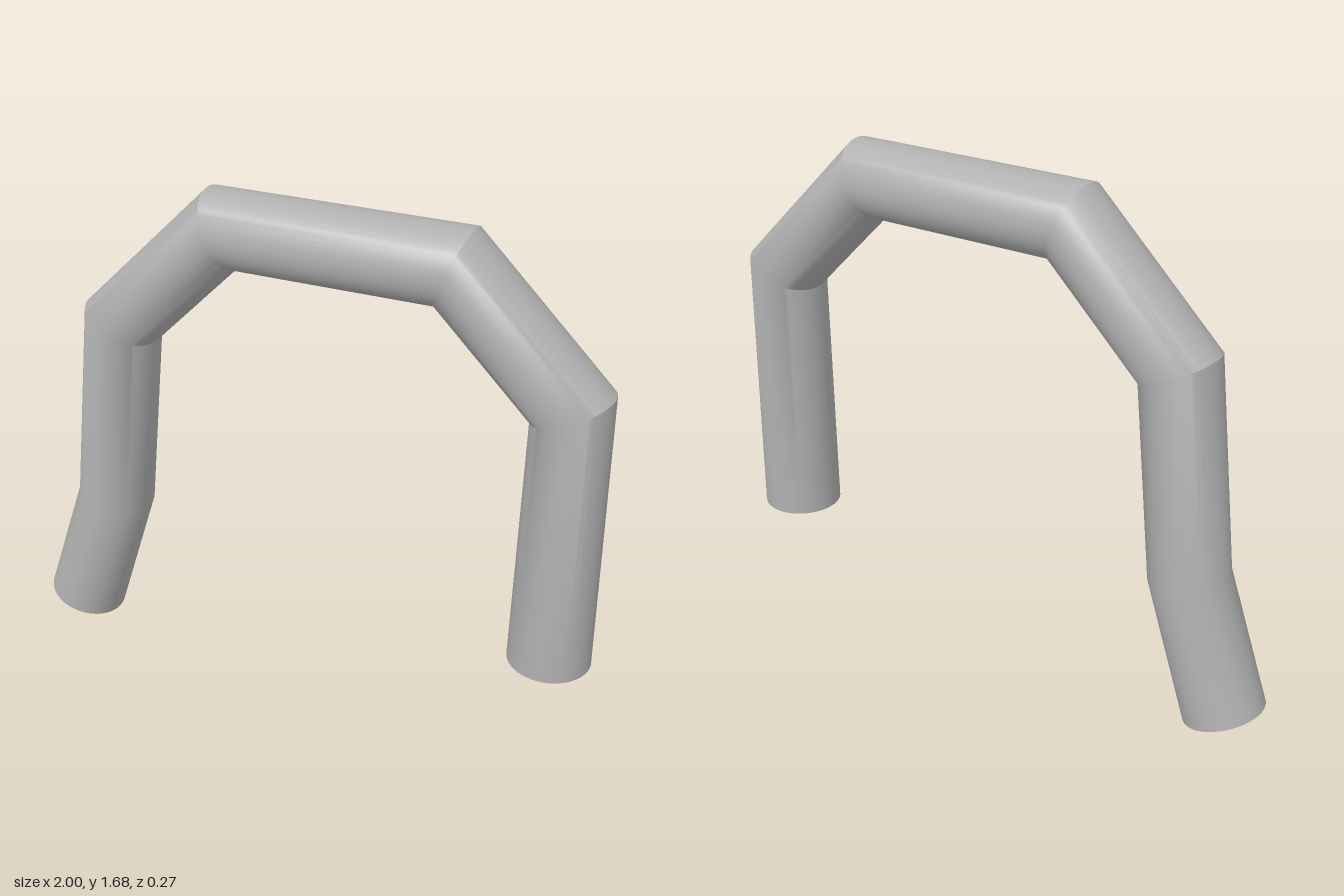
import * as THREE from 'three';
import { toCreasedNormals } from 'three/addons/utils/BufferGeometryUtils.js';

const SIDES = 48;
const HALF_DEPTH = 0.135;

// Mitred joints along the pipe: outer x, y and inner x, y
const JOINTS = [
  [-1.0, 0.088, -0.745, 0.0],
  [-0.848, 0.527, -0.593, 0.475],
  [-0.767, 1.235, -0.528, 1.122],
  [-0.32, 1.678, -0.22, 1.432],
  [0.535, 1.678, 0.435, 1.432],
  [0.985, 1.23, 0.74, 1.125],
  [1.0, 0.272, 0.73, 0.272],
];

// Elliptical ring spanning the outer and inner corner of a joint
function ring([ox, oy, ix, iy]) {
  const points = [];
  for (let j = 0; j < SIDES; j++) {
    const a = (j / SIDES) * Math.PI * 2;
    const k = (1 + Math.cos(a)) / 2;
    points.push([ix + (ox - ix) * k, iy + (oy - iy) * k, HALF_DEPTH * Math.sin(a)]);
  }
  return points;
}

function bentPipe() {
  const rings = JOINTS.map(ring);
  const positions = rings.flat(2);
  const index = [];
  // Straight walls between neighbouring joints
  for (let i = 0; i < rings.length - 1; i++) {
    for (let j = 0; j < SIDES; j++) {
      const n = (j + 1) % SIDES;
      const a = i * SIDES + j, b = i * SIDES + n;
      index.push(a, b, b + SIDES, a, b + SIDES, a + SIDES);
    }
  }
  // Flat caps on both open ends
  const last = (rings.length - 1) * SIDES;
  for (let j = 1; j < SIDES - 1; j++) {
    index.push(0, j + 1, j);
    index.push(last, last + j, last + j + 1);
  }
  const geometry = new THREE.BufferGeometry();
  geometry.setAttribute('position', new THREE.Float32BufferAttribute(positions, 3));
  geometry.setIndex(index);
  // Sharp along the outer and inner mitres, smooth around the sides
  return toCreasedNormals(geometry, 0.52);
}

export function createModel() {
  const grey = new THREE.MeshStandardMaterial({ color: 0xb0b0b0 });
  grey.name = 'pipe grey';

  const pipe = new THREE.Mesh(bentPipe(), grey);
  pipe.name = 'bentPipe';

  const model = new THREE.Group();
  model.name = 'pipeArch';
  model.add(pipe);
  return model;
}
